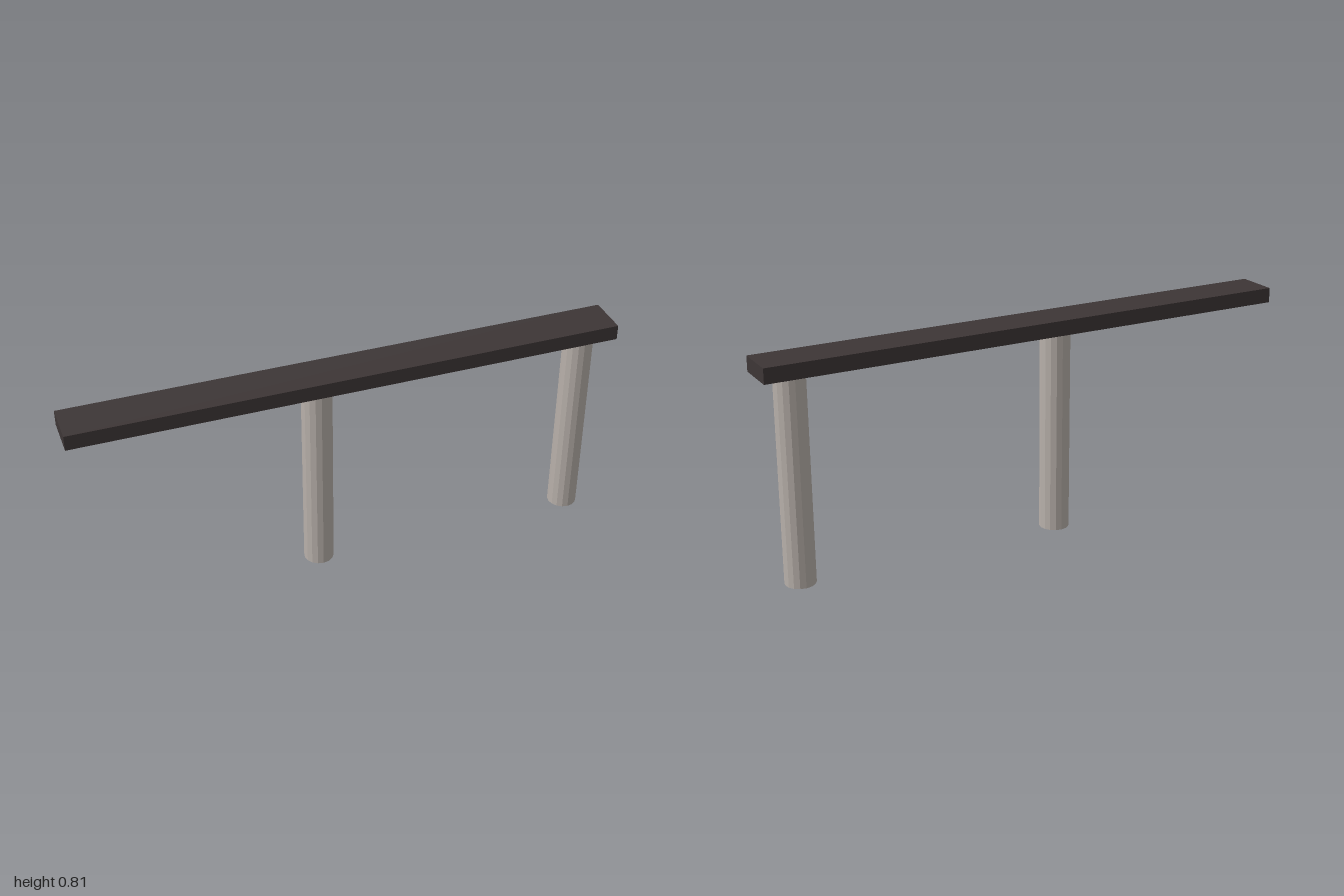
import * as THREE from 'three';

export function createModel() {
  const model = new THREE.Group();
  model.name = 'beamOnPosts';

  const darkBeam = new THREE.MeshStandardMaterial({ color: 0x3d3636 });
  darkBeam.name = 'dark brown';
  const postGrey = new THREE.MeshStandardMaterial({ color: 0xb8b0aa, flatShading: true });
  postGrey.name = 'warm grey';

  const postHeight = 0.752;
  const beamHeight = 0.055;

  // Long flat beam resting on the posts
  const beam = new THREE.Mesh(new THREE.BoxGeometry(2, beamHeight, 0.156), darkBeam);
  beam.name = 'beam';
  beam.position.y = postHeight + beamHeight / 2;
  model.add(beam);

  // Two faceted posts: one near the middle, one near the left end
  const postGeometry = new THREE.CylinderGeometry(0.055, 0.055, postHeight, 16);
  for (const [name, x] of [['middlePost', -0.113], ['endPost', 0.887]]) {
    const post = new THREE.Mesh(postGeometry, postGrey);
    post.name = name;
    post.position.set(x, postHeight / 2, 0);
    model.add(post);
  }

  return model;
}
